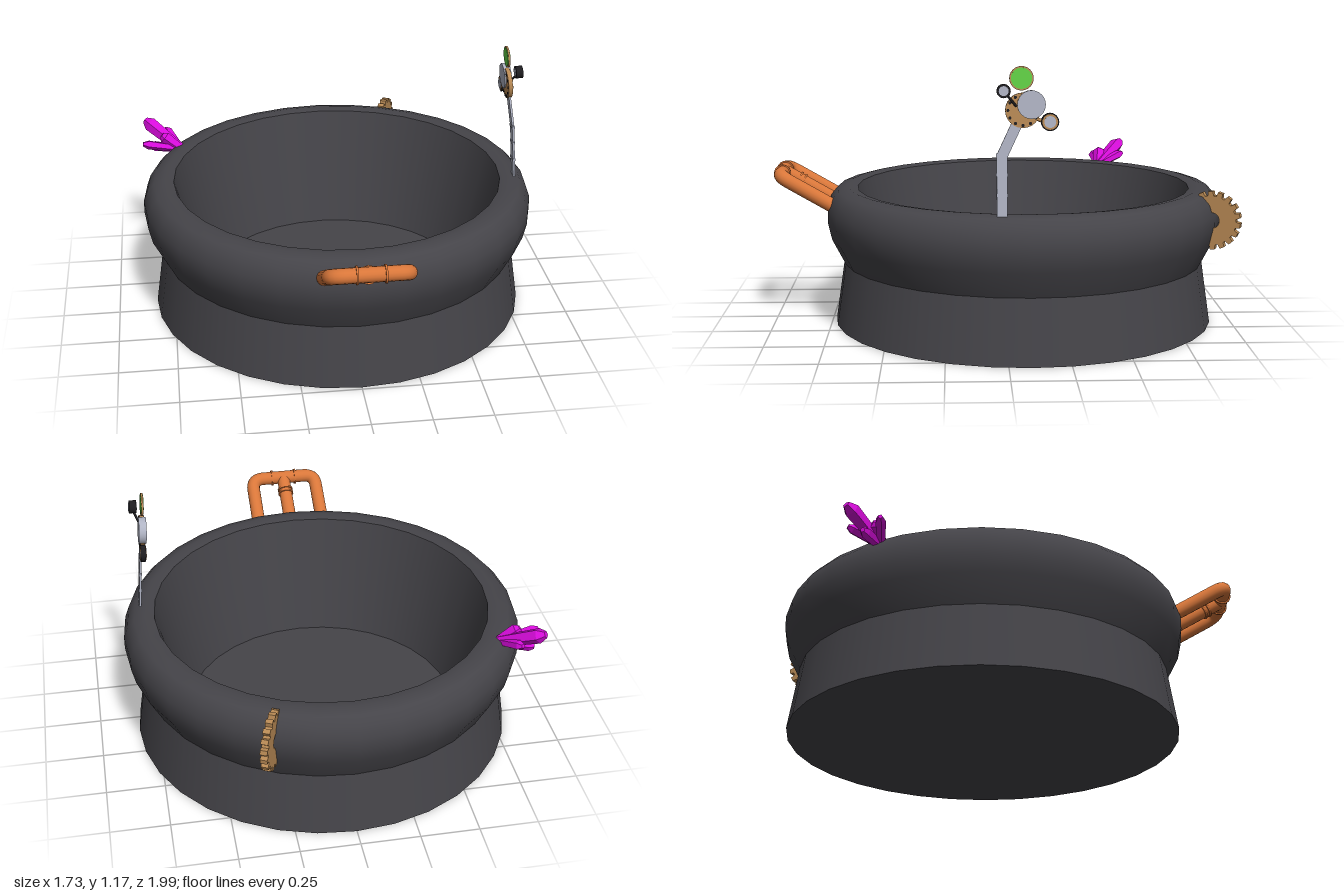
import * as THREE from 'three';

const material = (name, color) => {
  const m = new THREE.MeshStandardMaterial({ color });
  m.name = name;
  return m;
};
const V = (x, y, z) => new THREE.Vector3(x, y, z);
const UP = V(0, 1, 0);

export function createModel() {
  const iron = material('dark iron', 0x454449);
  const copper = material('copper', 0xd9773a);
  const brass = material('brass', 0xb98a55);
  const steel = material('steel', 0xb0b4c4);
  const crystal = material('magenta crystal', 0xd80cdc);
  const green = material('green glass', 0x62d246);
  const black = material('black', 0x1e1d20);

  const model = new THREE.Group();
  model.name = 'cauldron';

  const add = (parent, name, geometry, mat) => {
    const mesh = new THREE.Mesh(geometry, mat);
    mesh.name = name;
    parent.add(mesh);
    return mesh;
  };
  const group = (name, parent = model) => {
    const g = new THREE.Group();
    g.name = name;
    parent.add(g);
    return g;
  };
  // Cylinder running from a to b
  const rod = (parent, name, a, b, r0, r1, mat, sides = 16) => {
    const dir = b.clone().sub(a);
    const mesh = add(parent, name, new THREE.CylinderGeometry(r1, r0, dir.length(), sides), mat);
    mesh.position.copy(a).add(b).multiplyScalar(0.5);
    mesh.quaternion.setFromUnitVectors(UP, dir.normalize());
    return mesh;
  };

  // Bowl: separate turned bands keep the edges between them sharp
  const bowl = group('bowl');
  bowl.position.z = -0.093;
  const turned = (name, profile) => add(bowl, name,
    new THREE.LatheGeometry(profile.map(([x, y]) => new THREE.Vector2(x, y)), 32), iron);
  turned('bowlUnderside', [[0, 0], [0.83, 0]]);
  turned('bowlBase', [[0.83, 0], [0.79, 0.27]]);
  turned('bowlRim', [[0.79, 0.27], [0.847, 0.38], [0.863, 0.45], [0.863, 0.505],
    [0.845, 0.555], [0.815, 0.588], [0.77, 0.6], [0.727, 0.592]]);
  turned('bowlInnerWall', [[0.727, 0.592], [0.6, 0.05]]);
  turned('bowlFloor', [[0.6, 0.05], [0, 0.05]]);

  // Pipe handle, drawn flat along +z and tilted up
  const handle = group('pipeHandle');
  handle.position.set(0, 0.515, 0.712);
  handle.rotation.x = -Math.PI / 6;
  const reach = 0.283, half = 0.155, bend = 0.055, pipe = 0.031;
  const path = new THREE.CurvePath();
  path.add(new THREE.LineCurve3(V(-half, 0, 0), V(-half, 0, reach - bend)));
  path.add(new THREE.QuadraticBezierCurve3(V(-half, 0, reach - bend), V(-half, 0, reach), V(-half + bend, 0, reach)));
  path.add(new THREE.LineCurve3(V(-half + bend, 0, reach), V(half - bend, 0, reach)));
  path.add(new THREE.QuadraticBezierCurve3(V(half - bend, 0, reach), V(half, 0, reach), V(half, 0, reach - bend)));
  path.add(new THREE.LineCurve3(V(half, 0, reach - bend), V(half, 0, 0)));
  add(handle, 'outerPipe', new THREE.TubeGeometry(path, 64, pipe, 16), copper);
  for (const s of [-1, 1]) {
    rod(handle, 'pipeEnd', V(s * half, 0, -0.002), V(s * half, 0, 0.002), pipe, pipe, copper);
    rod(handle, 'barCollar', V(s * 0.052, 0, reach), V(s * 0.06, 0, reach), 0.037, 0.037, copper);
  }
  rod(handle, 'middlePipe', V(0, 0, 0), V(0, 0, reach), pipe, pipe, copper);
  for (const z of [0.185, 0.205]) rod(handle, 'middleCollar', V(0, 0, z), V(0, 0, z + 0.008), 0.037, 0.037, copper);

  // Cog set into the rear of the rim
  const teeth = 18, outline = [];
  for (let i = 0; i < teeth; i++) {
    for (const [t, r] of [[0, 0.105], [0.3, 0.105], [0.42, 0.124], [0.88, 0.124]]) {
      const a = ((i + t) / teeth) * Math.PI * 2;
      outline.push(new THREE.Vector2(Math.cos(a) * r, Math.sin(a) * r));
    }
  }
  const cogShape = new THREE.Shape(outline);
  cogShape.holes.push(new THREE.Path().absarc(0, 0, 0.034, 0, Math.PI * 2, true));
  const cogGeometry = new THREE.ExtrudeGeometry(cogShape, { depth: 0.03, bevelEnabled: false, curveSegments: 10 });
  cogGeometry.translate(0, 0, -0.015);
  const cog = add(model, 'cog', cogGeometry, brass);
  cog.position.set(0.336, 0.49, -0.877);
  cog.rotation.y = Math.atan2(0.907, 0.42);

  // Crystal cluster: flat-faced prisms with short slanted tips
  const cluster = group('crystalCluster');
  const root = V(-0.685, 0.572, -0.495);
  const crystals = [
    [V(-0.845, 0.672, -0.622), 0.034],
    [V(-0.86, 0.61, -0.485), 0.022],
    [V(-0.752, 0.625, -0.622), 0.022],
    [V(-0.825, 0.57, -0.555), 0.024],
    [V(-0.77, 0.64, -0.51), 0.03],
  ];
  crystals.forEach(([tip, r], i) => {
    const length = tip.distanceTo(root);
    const profile = [[0, 0], [r * 0.75, 0], [r, length * 0.85], [r * 0.45, length], [0, length]];
    const g = new THREE.LatheGeometry(profile.map(([x, y]) => new THREE.Vector2(x, y)), 5).toNonIndexed();
    g.computeVertexNormals();
    const mesh = add(cluster, 'crystal' + (i + 1), g, crystal);
    mesh.position.copy(root);
    mesh.quaternion.setFromUnitVectors(UP, tip.clone().sub(root).normalize());
  });

  // Instrument stalk, leaning inward over the rim
  const gauge = group('instrumentStalk');
  gauge.position.set(0.78, 0.59, 0);
  gauge.rotation.z = 0.07;
  // Flat disc facing sideways, between x0 and x1
  const disc = (name, y, z, r, x0, x1, mat) => rod(gauge, name, V(x0, y, z), V(x1, y, z), r, r, mat, 24);

  const strip = (name, y0, z0, y1, z1, w, t) => {
    const m = add(gauge, name, new THREE.BoxGeometry(t, Math.hypot(y1 - y0, z1 - z0), w), steel);
    m.position.set(0, (y0 + y1) / 2, (z0 + z1) / 2);
    m.rotation.x = Math.atan2(z1 - z0, y1 - y0);
  };
  strip('lowerStalk', -0.03, 0.025, 0.25, 0.025, 0.042, 0.009);
  strip('upperStalk', 0.235, 0.027, 0.4, -0.05, 0.042, 0.009);
  for (const y of [0.08, 0.16, 0.235]) strip('stalkJoint', y, 0.025, y + 0.012, 0.025, 0.046, 0.012);

  // Mounting plate with rivets
  disc('mountingPlate', 0.415, -0.055, 0.068, -0.009, 0.009, brass);
  for (let i = 0; i < 12; i++) {
    const a = (i / 12) * Math.PI * 2;
    disc('rivet', 0.415 + Math.sin(a) * 0.058, -0.055 + Math.cos(a) * 0.058, 0.006, -0.012, 0.012, black);
  }
  // Large steel lens
  disc('largeLens', 0.437, -0.088, 0.055, -0.015, 0.016, steel);
  // Green lens in a brass ring
  disc('greenLensRing', 0.538, -0.05, 0.047, -0.004, 0.004, brass);
  disc('greenLens', 0.538, -0.05, 0.041, -0.006, 0.006, green);
  // Small lens held out on an arm
  rod(gauge, 'lensArm', V(0.005, 0.43, -0.03), V(0.035, 0.485, 0.015), 0.005, 0.005, black, 8);
  disc('smallLensBarrel', 0.49, 0.02, 0.027, 0.018, 0.048, black);
  disc('smallLens', 0.49, 0.02, 0.019, 0.016, 0.05, steel);
  // Side lens
  rod(gauge, 'sideLensArm', V(0, 0.385, -0.1), V(0, 0.37, -0.14), 0.007, 0.007, brass, 8);
  disc('sideLensBarrel', 0.37, -0.16, 0.035, -0.008, 0.012, black);
  disc('sideLensRing', 0.37, -0.16, 0.03, -0.01, 0.014, brass);
  disc('sideLens', 0.37, -0.16, 0.023, -0.012, 0.016, steel);

  return model;
}
